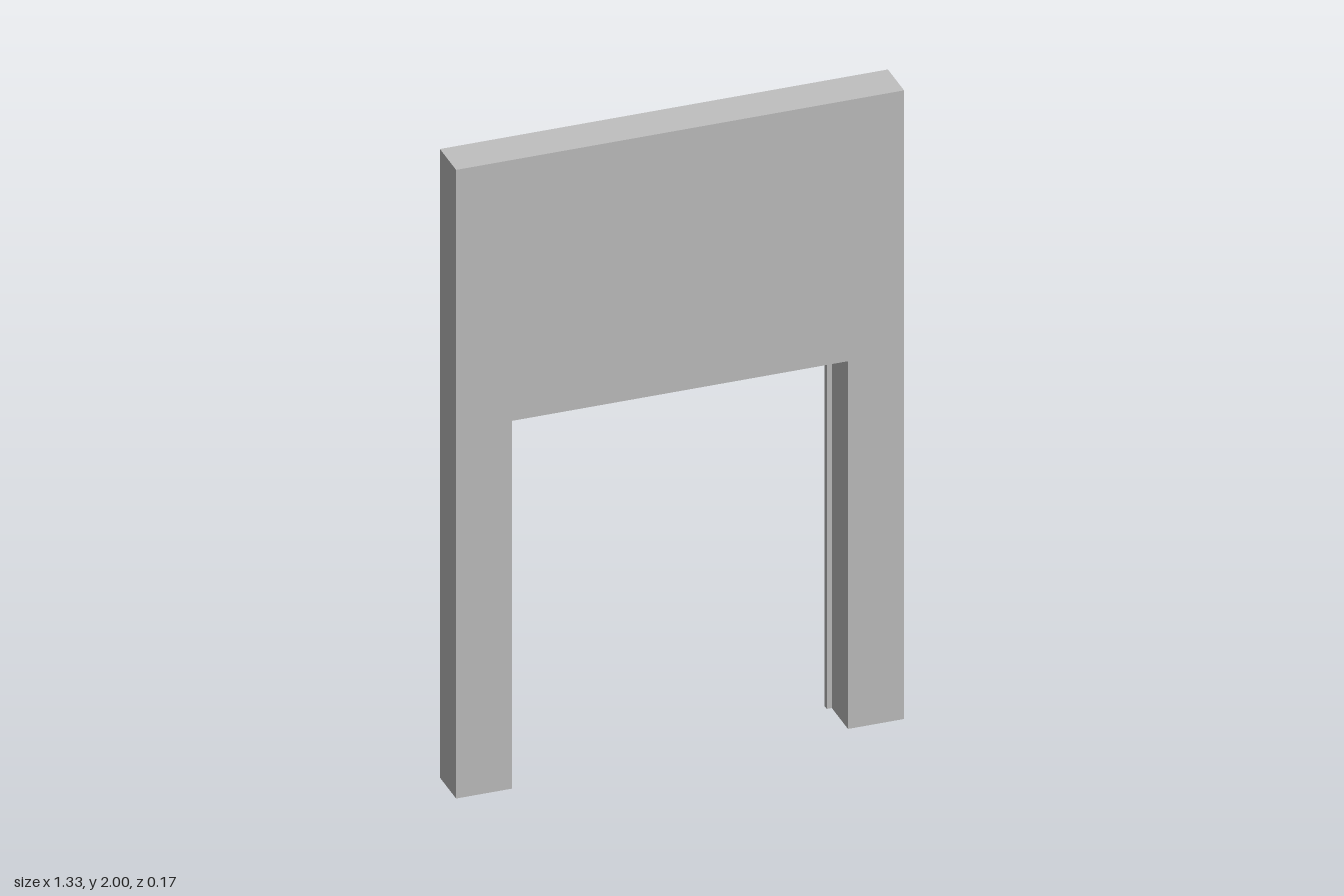
import * as THREE from 'three';

export function createModel() {
  const group = new THREE.Group();
  const grey = new THREE.MeshStandardMaterial({ color: 0xc0c0c0 });
  grey.name = 'plain grey';

  // Wall panel with a doorway open at the floor
  const W = 0.667, H = 2, OPEN = 0.5, OPEN_TOP = 1.17;
  const BACK = -0.047, FRONT = 0.083;
  const outline = new THREE.Shape([
    [-W, 0], [-OPEN, 0], [-OPEN, OPEN_TOP], [OPEN, OPEN_TOP],
    [OPEN, 0], [W, 0], [W, H], [-W, H],
  ].map(([x, y]) => new THREE.Vector2(x, y)));
  const wall = new THREE.Mesh(
    new THREE.ExtrudeGeometry(outline, { depth: FRONT - BACK, bevelEnabled: false }), grey);
  wall.name = 'wall';
  wall.position.z = BACK;
  group.add(wall);

  // Trim boards fixed to the back of the wall
  const addBoard = (name, x0, x1, y0, y1, depth) => {
    const board = new THREE.Mesh(new THREE.BoxGeometry(x1 - x0, y1 - y0, depth), grey);
    board.name = name;
    board.position.set((x0 + x1) / 2, (y0 + y1) / 2, BACK - depth / 2);
    group.add(board);
  };
  const TRIM_IN = 0.485, TRIM_OUT = 0.567, LINTEL_Y = 1.143;
  addBoard('leftDoorTrim', TRIM_IN, TRIM_OUT, 0, LINTEL_Y, 0.02);
  addBoard('rightDoorTrim', -TRIM_OUT, -TRIM_IN, 0, LINTEL_Y, 0.02);
  addBoard('lintelTrim', -TRIM_OUT, TRIM_OUT, LINTEL_Y, 1.207, 0.036);

  return group;
}
